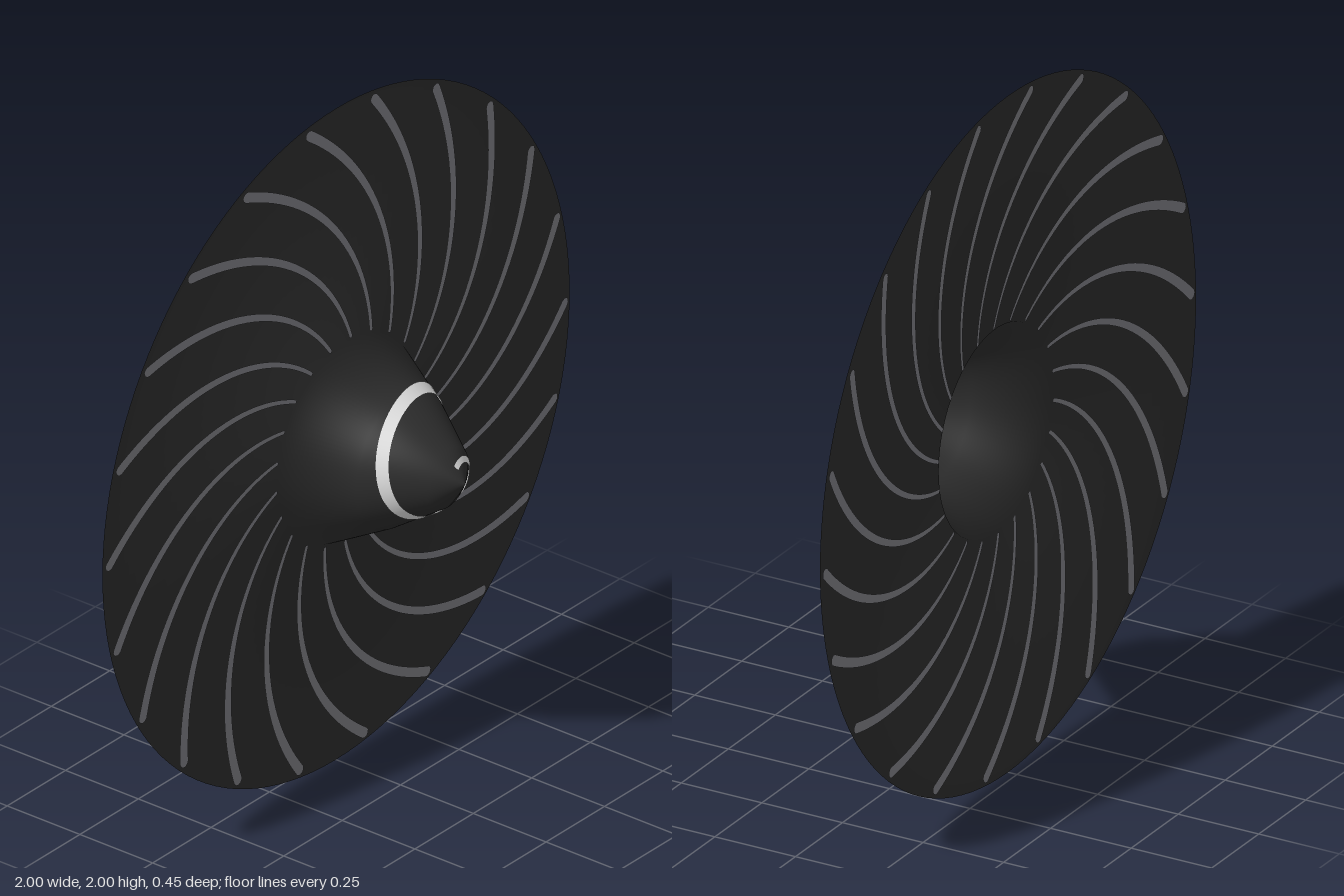
import * as THREE from 'three';

// Shell profile as [radius, z], from the rim to the nose
const PROFILE = [[1, -0.222], [0.3, -0.182], [0.197, 0.005], [0.09, 0.163], [0, 0.222]];
const DEG = Math.PI / 180;

// Point on the shell at a radius and clockwise angle, lifted off along the surface normal
function shellPoint(radius, angle, lift) {
  const r = Math.min(1, Math.max(0, radius));
  let i = 0;
  while (i < PROFILE.length - 2 && r < PROFILE[i + 1][0]) i++;
  const [r0, z0] = PROFILE[i], [r1, z1] = PROFILE[i + 1];
  const z = z0 + (z1 - z0) * (r0 - r) / (r0 - r1);
  const len = Math.hypot(r0 - r1, z1 - z0);
  const rr = r + lift * (z1 - z0) / len;
  return [rr * Math.sin(angle), rr * Math.cos(angle), z + lift * (r0 - r1) / len];
}

// Painted ribbon along a path t -> [radius, angle], with rounded ends, on one side of the shell
function ribbon(path, halfWidth, length, lift, steps) {
  const positions = [], index = [];
  const at = (t) => {
    const [r, a] = path(t);
    return new THREE.Vector2(r * Math.sin(a), r * Math.cos(a));
  };
  for (let i = 0; i <= steps; i++) {
    const t = (1 - Math.cos(Math.PI * i / steps)) / 2;
    const p = at(t);
    const dir = at(t + 0.001).sub(at(t - 0.001)).normalize();
    const w = halfWidth(t);
    const gap = Math.max(0, w - Math.min(t, 1 - t) * length);
    const half = Math.sqrt(Math.max(0, w * w - gap * gap));
    for (const side of [-1, 1]) {
      const x = p.x - side * dir.y * half, y = p.y + side * dir.x * half;
      positions.push(...shellPoint(Math.hypot(x, y), Math.atan2(x, y), lift));
    }
    if (i < steps) {
      const k = i * 2;
      if (lift > 0) index.push(k, k + 2, k + 1, k + 1, k + 2, k + 3);
      else index.push(k, k + 1, k + 2, k + 1, k + 3, k + 2);
    }
  }
  const geometry = new THREE.BufferGeometry();
  geometry.setAttribute('position', new THREE.Float32BufferAttribute(positions, 3));
  geometry.setIndex(index);
  geometry.computeVertexNormals();
  return geometry;
}

export function createModel() {
  const group = new THREE.Group();
  const material = (name, color) => {
    const m = new THREE.MeshStandardMaterial({ color, side: THREE.DoubleSide });
    m.name = name;
    return m;
  };
  const charcoal = material('charcoal', 0x2d2d2d);
  const grey = material('bladeGrey', 0x808086);
  const white = material('spiralWhite', 0xe4e4e4);

  const add = (name, geometry, mat) => {
    const mesh = new THREE.Mesh(geometry, mat);
    mesh.name = name;
    mesh.position.y = 1;
    group.add(mesh);
  };

  // Thin open shell: wide disc with a hollow pointed hub
  const shell = new THREE.LatheGeometry(PROFILE.map(([r, z]) => new THREE.Vector2(r, z)), 128);
  shell.rotateX(Math.PI / 2);
  add('discAndHub', shell, charcoal);

  for (const lift of [0.003, -0.003]) {
    const face = lift > 0 ? 'Front' : 'Back';

    // Swept blade stripes
    for (let k = 0; k < 22; k++) {
      const tip = (9.4 + k * 360 / 22) * DEG;
      const path = (t) => {
        const r = 0.305 + 0.68 * t;
        return [r, tip + 63 * DEG * (0.975 - r)];
      };
      add('bladeStripe' + face + (k + 1), ribbon(path, (t) => 0.006 + 0.01 * t, 0.95, lift, 40), grey);
    }

    // Spiral on the hub
    const spiral = (t) => {
      const deg = -8 + 484 * t;
      return [0.045 + 0.0004 * deg, deg * DEG];
    };
    add('hubSpiral' + face, ribbon(spiral, (t) => 0.008 + 0.003 * t, 1.2, lift, 120), white);
  }
  return group;
}
